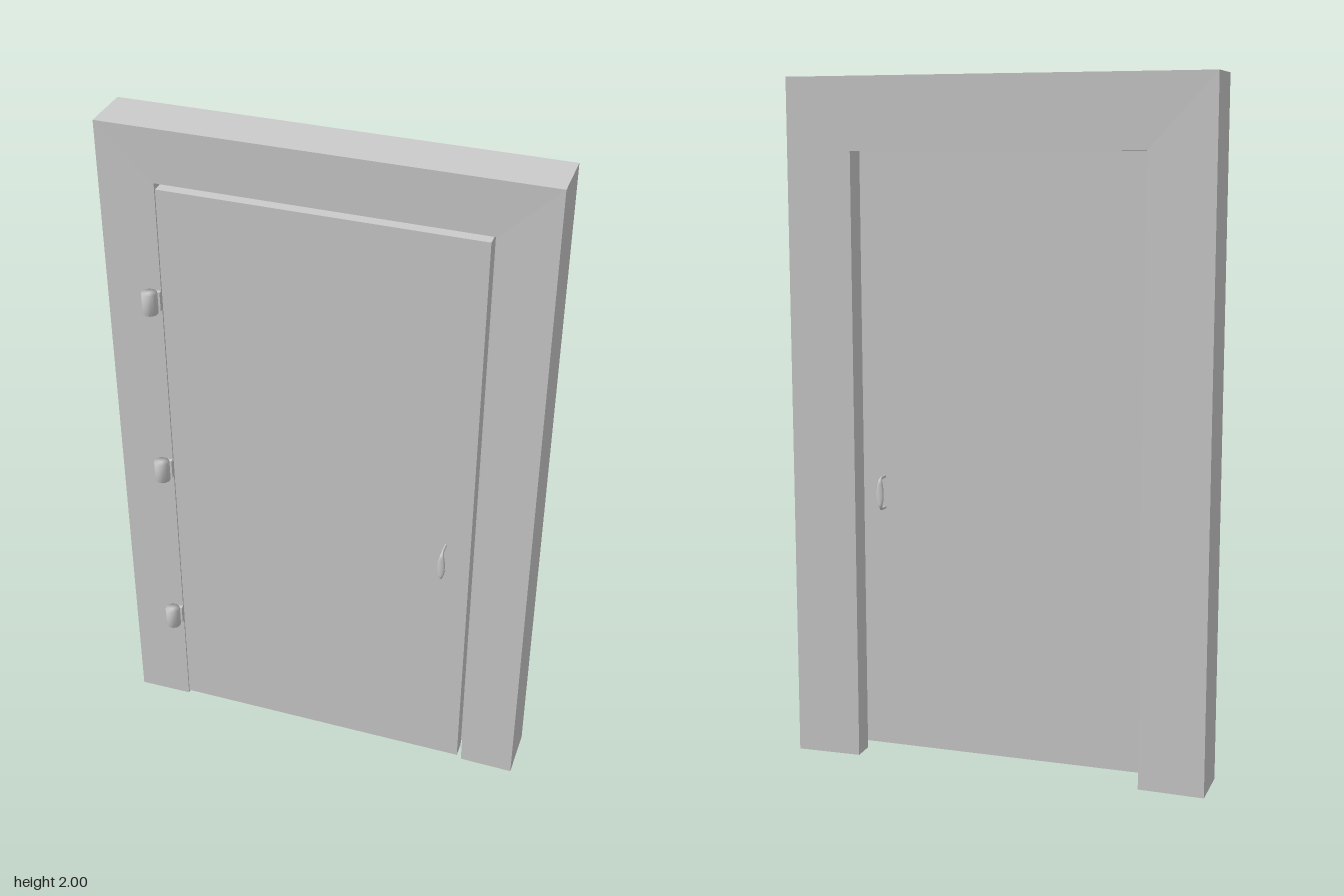
import * as THREE from 'three';
import { mergeVertices } from 'three/addons/utils/BufferGeometryUtils.js';

const FRONT = 0.055, BACK = -0.099, STOP = -0.025;
const grey = new THREE.MeshStandardMaterial({ color: 0xcccccc });
const greyOpen = new THREE.MeshStandardMaterial({ color: 0xcccccc, side: THREE.DoubleSide });

function add(parent, name, geometry, x = 0, y = 0, z = 0, material = grey) {
  const mesh = new THREE.Mesh(geometry, material);
  mesh.name = name;
  mesh.position.set(x, y, z);
  parent.add(mesh);
  return mesh;
}

// Rebated frame section swept around three sides with mitred corners, open at the floor.
// The faces fall back slightly towards the opening.
function frameGeometry() {
  // [half width, top height, z]
  const profile = [
    [0.622, 2, FRONT], [0.462, 1.844, FRONT - 0.002], [0.462, 1.844, STOP],
    [0.43, 1.792, STOP], [0.43, 1.792, BACK + 0.006], [0.622, 2, BACK],
  ];
  const stations = [[-1, 0], [-1, 1], [1, 1], [1, 0]];
  const point = (s, i) => {
    const [w, h, z] = profile[i % profile.length];
    return [stations[s][0] * w, stations[s][1] * h, z];
  };
  const positions = [];
  for (let s = 0; s < 3; s++) {
    for (let i = 0; i < profile.length; i++) {
      const a = point(s, i), b = point(s + 1, i), c = point(s + 1, i + 1), d = point(s, i + 1);
      positions.push(...a, ...d, ...c, ...a, ...c, ...b);
    }
  }
  const geometry = new THREE.BufferGeometry();
  geometry.setAttribute('position', new THREE.Float32BufferAttribute(positions, 3));
  geometry.computeVertexNormals();
  return geometry;
}

// Hinge barrel with softly shaded rims
function barrelGeometry() {
  const cylinder = new THREE.CylinderGeometry(0.0225, 0.0225, 0.063, 16);
  cylinder.deleteAttribute('normal');
  cylinder.deleteAttribute('uv');
  const geometry = mergeVertices(cylinder);
  geometry.computeVertexNormals();
  return geometry;
}

// Bow handle: a rounded D path, broad in the middle of the grip and narrow at the ends
function handleGeometry() {
  const h = 0.047, depth = 0.039, r = 0.017;
  const v = (y, z) => new THREE.Vector3(0, y, z);
  const path = new THREE.CurvePath();
  path.add(new THREE.LineCurve3(v(-h, -0.003), v(-h, depth - r)));
  path.add(new THREE.QuadraticBezierCurve3(v(-h, depth - r), v(-h, depth), v(-h + r, depth)));
  path.add(new THREE.LineCurve3(v(-h + r, depth), v(h - r, depth)));
  path.add(new THREE.QuadraticBezierCurve3(v(h - r, depth), v(h, depth), v(h, depth - r)));
  path.add(new THREE.LineCurve3(v(h, depth - r), v(h, -0.003)));
  const geometry = new THREE.TubeGeometry(path, 48, 0.0045, 10);
  const p = geometry.attributes.position;
  for (let i = 0; i < p.count; i++) {
    const t = Math.min(1, Math.abs(p.getY(i)) / h);
    p.setX(i, p.getX(i) * (0.7 + 1.8 * (1 - t * t)));
  }
  geometry.computeVertexNormals();
  return geometry;
}

export function createModel() {
  const model = new THREE.Group();
  model.name = 'door';

  add(model, 'frame', frameGeometry(), 0, 0, 0, greyOpen);

  // Thin door leaf in the rebate, standing clear of the stop
  const left = -0.46, right = 0.448, bottom = 0.011, top = 1.826;
  const front = FRONT - 0.003, back = 0.004;
  add(model, 'doorLeaf', new THREE.BoxGeometry(right - left, top - bottom, front - back),
    (left + right) / 2, (bottom + top) / 2, (front + back) / 2);

  // Hinges: barrel with a small leaf reaching the door edge
  const barrel = barrelGeometry();
  const leaf = new THREE.BoxGeometry(0.03, 0.06, 0.014);
  for (const y of [0.347, 0.919, 1.49]) {
    const hinge = new THREE.Group();
    hinge.name = 'hinge';
    hinge.position.set(-0.488, y, 0);
    add(hinge, 'hingeBarrel', barrel, 0, 0, 0.075);
    add(hinge, 'hingeLeaf', leaf, 0.011, 0, FRONT + 0.002);
    model.add(hinge);
  }

  // A handle on each face
  const handle = handleGeometry();
  add(model, 'frontHandle', handle, 0.375, 0.794, front + 0.003);
  add(model, 'backHandle', handle, 0.375, 0.794, back).rotation.y = Math.PI;

  return model;
}
